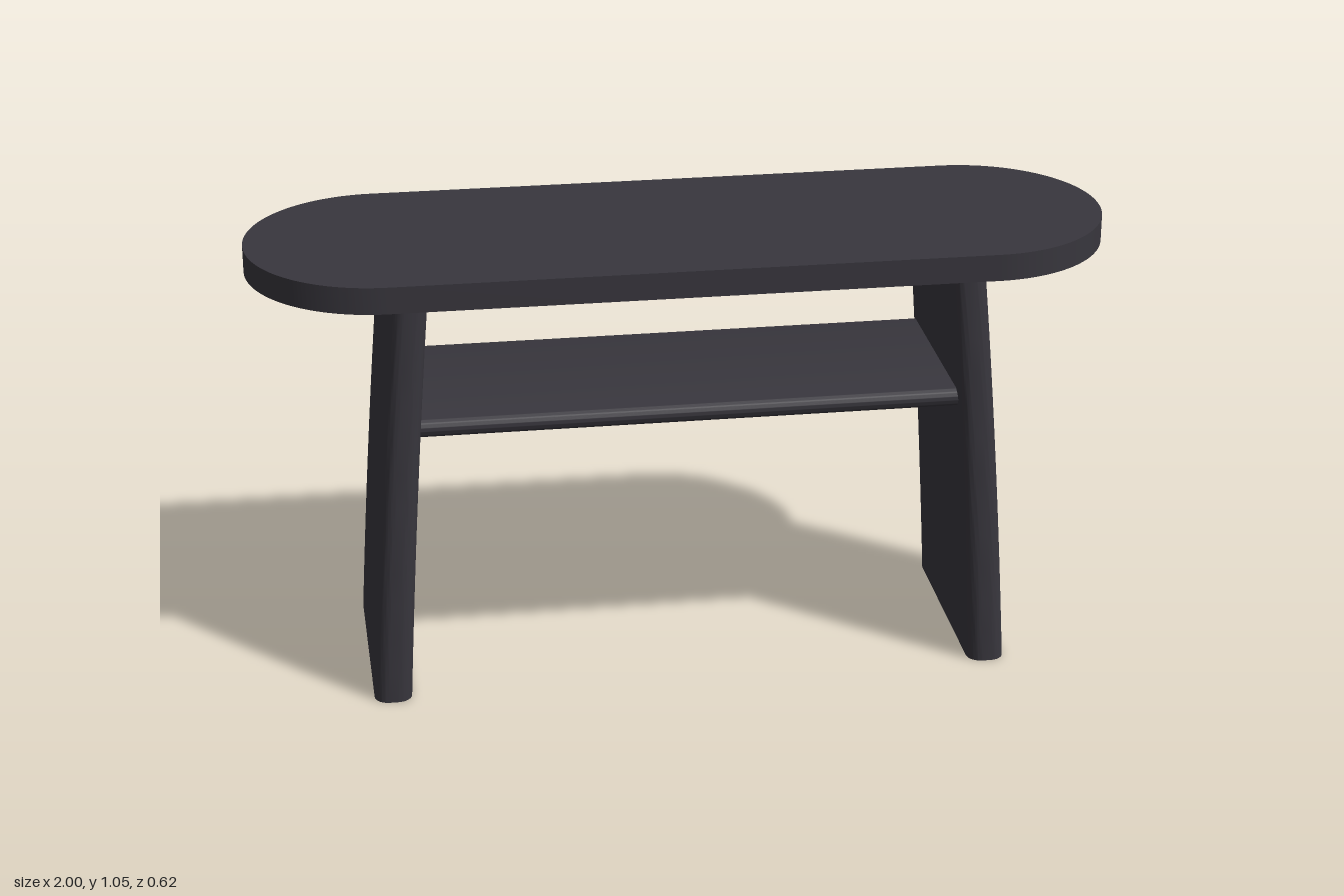
import * as THREE from 'three';
import { toCreasedNormals } from 'three/addons/utils/BufferGeometryUtils.js';

// Rounded rectangle outline centred on the origin
function roundedRect(w, h, r) {
  const s = new THREE.Shape();
  const x = w / 2 - r, y = h / 2 - r;
  s.absarc(x, y, r, 0, Math.PI / 2);
  s.absarc(-x, y, r, Math.PI / 2, Math.PI);
  s.absarc(-x, -y, r, Math.PI, Math.PI * 1.5);
  s.absarc(x, -y, r, Math.PI * 1.5, Math.PI * 2);
  return s;
}

function prism(shape, depth, steps = 1, curveSegments = 10) {
  return new THREE.ExtrudeGeometry(shape, { depth, steps, curveSegments, bevelEnabled: false });
}

export function createModel() {
  const group = new THREE.Group();
  const charcoal = new THREE.MeshStandardMaterial({ color: 0x38363d });
  charcoal.name = 'charcoal';

  const add = (name, geometry) => {
    const mesh = new THREE.Mesh(toCreasedNormals(geometry, 0.6), charcoal);
    mesh.name = name;
    group.add(mesh);
  };

  // Stadium-shaped seat slab
  const seat = prism(roundedRect(2, 0.62, 0.3099), 0.063, 1, 24);
  seat.rotateX(-Math.PI / 2).translate(0, 0.992, 0);
  add('seat', seat);

  // Panel legs: splayed outwards with a gentle curve, wider at the foot
  for (const side of [1, -1]) {
    const leg = prism(roundedRect(0.088, 0.545, 0.034), 0.995, 12);
    leg.rotateX(-Math.PI / 2);
    const p = leg.attributes.position;
    for (let i = 0; i < p.count; i++) {
      const y = p.getY(i);
      const centre = 0.711 - 0.056 * y - 0.018 * y * y;
      p.setX(i, p.getX(i) * (1 - 0.08 * y) + side * centre);
      p.setZ(i, p.getZ(i) * (1 - 0.03 * y - 0.045 * y * y));
    }
    add(side > 0 ? 'leftLeg' : 'rightLeg', leg);
  }

  // Shelf between the legs with fully rounded long edges
  const shelf = prism(roundedRect(0.47, 0.045, 0.0224), 1.3);
  shelf.translate(0, 0, -0.65).rotateY(Math.PI / 2).translate(0, 0.673, 0);
  add('shelf', shelf);

  return group;
}
